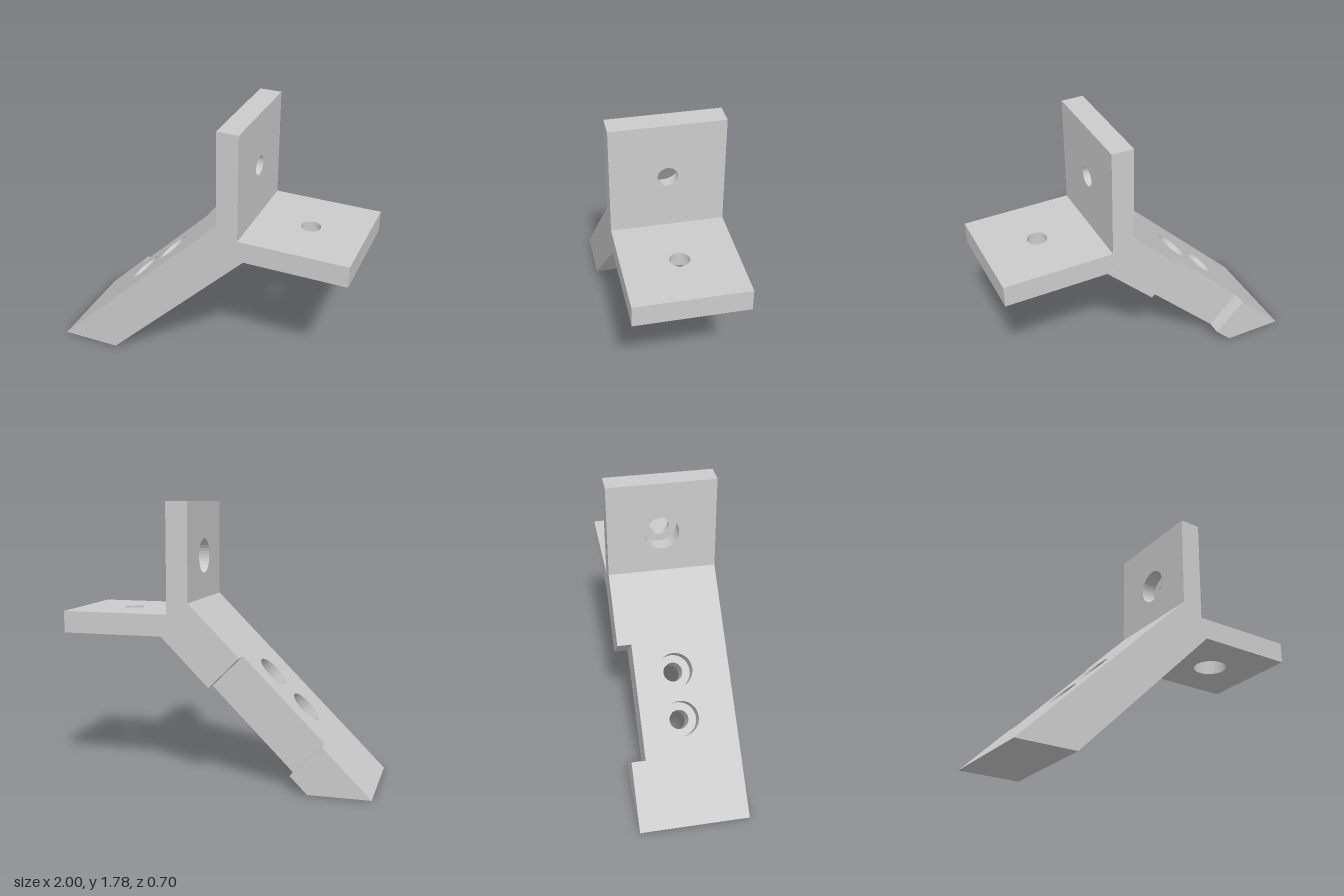
import * as THREE from 'three';
import { mergeGeometries } from 'three/addons/utils/BufferGeometryUtils.js';

const HALF = 0.35;        // half the bracket's width
const BOLT = 0.062;       // bolt hole radius
const HEAD = 0.112;       // counterbore radius
const SIDES = 32;

const material = new THREE.MeshStandardMaterial({ color: 0xcccccc, flatShading: true });

// clockwise circle, so its wall faces the hole's axis
function circle(u, r) {
  return Array.from({ length: SIDES }, (_, i) => {
    const a = -i / SIDES * Math.PI * 2;
    return new THREE.Vector2(u + r * Math.cos(a), r * Math.sin(a));
  });
}

// flat cap with round holes at local height z
function cap(points, holes, r, z, flip) {
  const shape = new THREE.Shape(points);
  holes.forEach(u => shape.holes.push(new THREE.Path(circle(u, r))));
  const g = new THREE.ShapeGeometry(shape);
  if (flip) g.setIndex(Array.from(g.index.array).reverse());
  return g.translate(0, 0, z).toNonIndexed();
}

// wall between an upper and a lower outline
function wall(top, bottom, zTop, zBottom, closed) {
  const p = [];
  const n = top.length;
  for (let i = 0; i < (closed ? n : n - 1); i++) {
    const j = (i + 1) % n;
    const a = [top[i].x, top[i].y, zTop], b = [bottom[i].x, bottom[i].y, zBottom];
    const c = [bottom[j].x, bottom[j].y, zBottom], d = [top[j].x, top[j].y, zTop];
    p.push(...a, ...b, ...c, ...a, ...c, ...d);
  }
  const g = new THREE.BufferGeometry();
  g.setAttribute('position', new THREE.Float32BufferAttribute(p, 3));
  return g;
}

// Counterbored plate. Outline rows are [u on top, v, u on bottom]; the closing
// edge stays open because it meets the other plates.
function plate(name, outline, holes, thickness, boreDepth, U, N, origin) {
  const top = outline.map(([u, v]) => new THREE.Vector2(u, v));
  const bottom = outline.map(([u, v, w]) => new THREE.Vector2(w, v));
  const parts = [
    cap(top, holes, HEAD, 0, false),
    cap(bottom, holes, BOLT, -thickness, true),
    wall(top, bottom, 0, -thickness, false),
  ];
  for (const u of holes) {
    const head = circle(u, HEAD), bolt = circle(u, BOLT);
    parts.push(wall(head, head, 0, -boreDepth, true));
    parts.push(wall(bolt, bolt, -boreDepth, -thickness, true));
    parts.push(new THREE.RingGeometry(BOLT, HEAD, SIDES).translate(u, 0, -boreDepth).toNonIndexed());
  }
  parts.forEach(g => { g.deleteAttribute('uv'); g.deleteAttribute('normal'); });
  const geometry = mergeGeometries(parts);
  const V = N.clone().cross(U);
  geometry.applyMatrix4(new THREE.Matrix4().makeBasis(U, V, N).setPosition(origin));
  geometry.computeVertexNormals();
  const mesh = new THREE.Mesh(geometry, material);
  mesh.name = name;
  return mesh;
}

// flange outline running from the joint to its free end
const flangeOutline = (top0, bottom0, end) => [
  [top0, -HALF, bottom0], [end, -HALF, end], [end, HALF, end], [top0, HALF, bottom0],
];

export function createModel() {
  const model = new THREE.Group();
  model.name = 'angleBracket';
  const vec = (x, y, z) => new THREE.Vector3(x, y, z);

  // sloping arm, cut level at the foot, with a notch in its back edge
  const arm = [
    [1.6405, HALF, 1.6157],
    [1.174, HALF, 1.174], [1.174, 0.26, 1.174], [0.435, 0.26, 0.435], [0.435, HALF, 0.435],
    [0, HALF, 0.2793], [0, -HALF, 0.2793],
    [1.6405, -HALF, 1.6157],
  ];
  model.add(plate('slopingArm', arm, [0.668, 0.978], 0.2793, 0.11,
    vec(1, 1, 0).normalize(), vec(-1, 1, 0).normalize(), vec(-1, 0, 0)));

  // upright flange, counterbored from the arm side
  model.add(plate('uprightFlange', flangeOutline(1.16, 1.085, 1.785), [1.435], 0.14, 0.1,
    vec(0, 1, 0), vec(-1, 0, 0), vec(0.16, 0, 0)));

  // level flange, counterbored from below
  model.add(plate('levelFlange', flangeOutline(0.34, 0.3, 1), [0.65], 0.14, 0.1,
    vec(1, 0, 0), vec(0, -1, 0), vec(0, 0.945, 0)));

  // triangular side faces where the three plates meet
  const corner = [[0.16, 1.16], [0.34, 0.945], [0.3, 1.085]].map(([x, y]) => new THREE.Vector2(x, y));
  const sides = mergeGeometries([
    cap(corner, [], 0, HALF, false),
    cap(corner, [], 0, -HALF, true),
  ]);
  sides.computeVertexNormals();
  const joint = new THREE.Mesh(sides, material);
  joint.name = 'jointSides';
  model.add(joint);

  return model;
}
